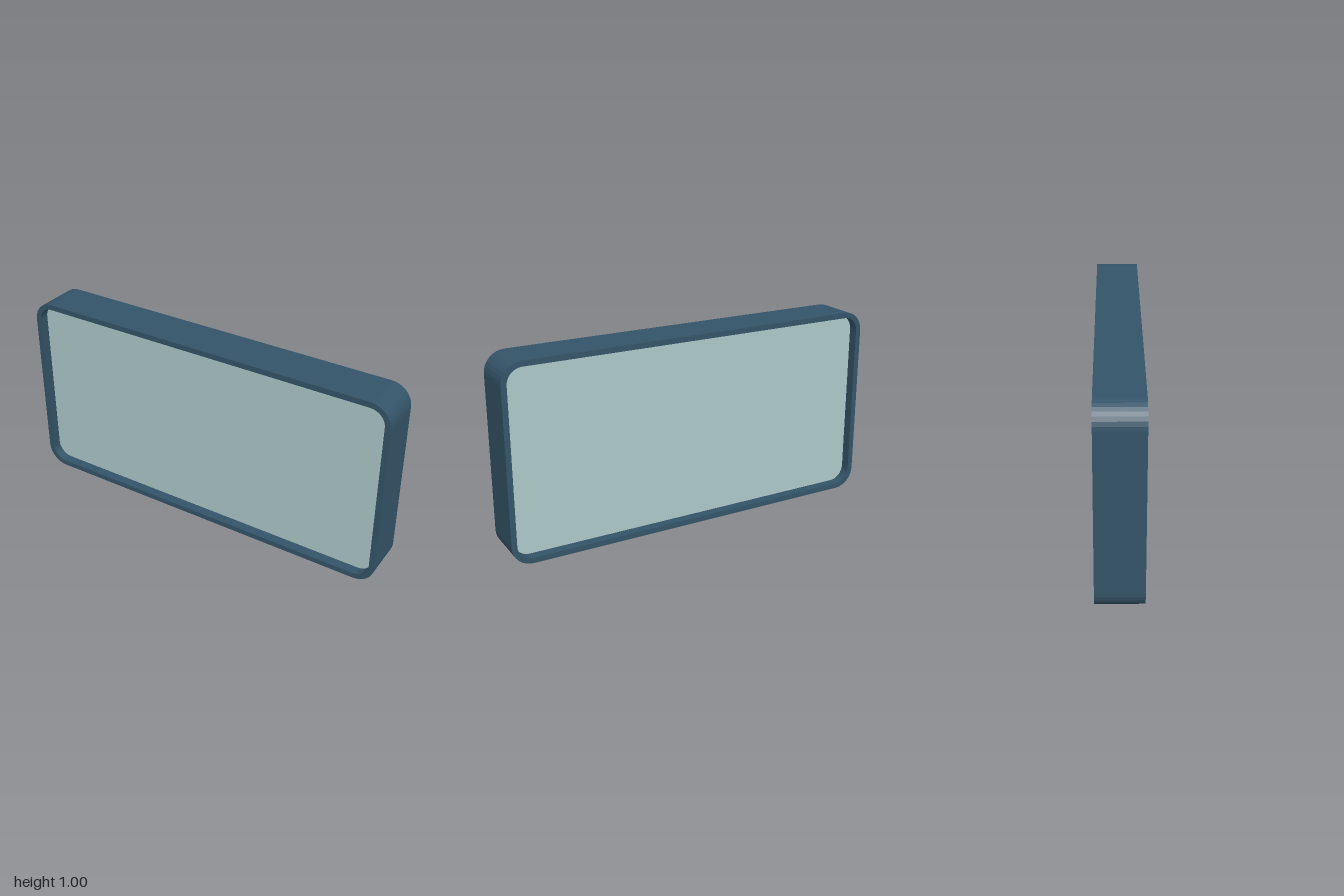
import * as THREE from 'three';

const WIDTH = 2, HEIGHT = 1, DEPTH = 0.226;
const RADIUS = 0.105, BORDER = 0.028, RECESS = 0.05;

// Rounded rectangle standing on y = 0, shrunk evenly by inset
function roundedOutline(Type, inset) {
  const x = WIDTH / 2 - inset, bottom = inset, top = HEIGHT - inset, r = RADIUS - inset;
  const s = new Type();
  s.moveTo(-x + r, bottom);
  s.absarc(x - r, bottom + r, r, -Math.PI / 2, 0);
  s.absarc(x - r, top - r, r, 0, Math.PI / 2);
  s.absarc(-x + r, top - r, r, Math.PI / 2, Math.PI);
  s.absarc(-x + r, bottom + r, r, Math.PI, Math.PI * 1.5);
  s.closePath();
  return s;
}

// Extrude a shape along z, centred on z = 0
function slab(name, shape, depth, color) {
  const geometry = new THREE.ExtrudeGeometry(shape, { depth, bevelEnabled: false, curveSegments: 4 });
  geometry.translate(0, 0, -depth / 2);
  const mesh = new THREE.Mesh(geometry, new THREE.MeshStandardMaterial({ color }));
  mesh.name = name;
  return mesh;
}

export function createModel() {
  const group = new THREE.Group();
  group.name = 'framedWindow';

  // Deep surround with a rounded opening
  const ring = roundedOutline(THREE.Shape, 0);
  ring.holes.push(roundedOutline(THREE.Path, BORDER));
  group.add(slab('frame', ring, DEPTH, 0x345468));

  // Pane set back equally from both faces of the frame
  group.add(slab('glassPane', roundedOutline(THREE.Shape, BORDER), DEPTH - 2 * RECESS, 0xadc8c8));

  return group;
}
